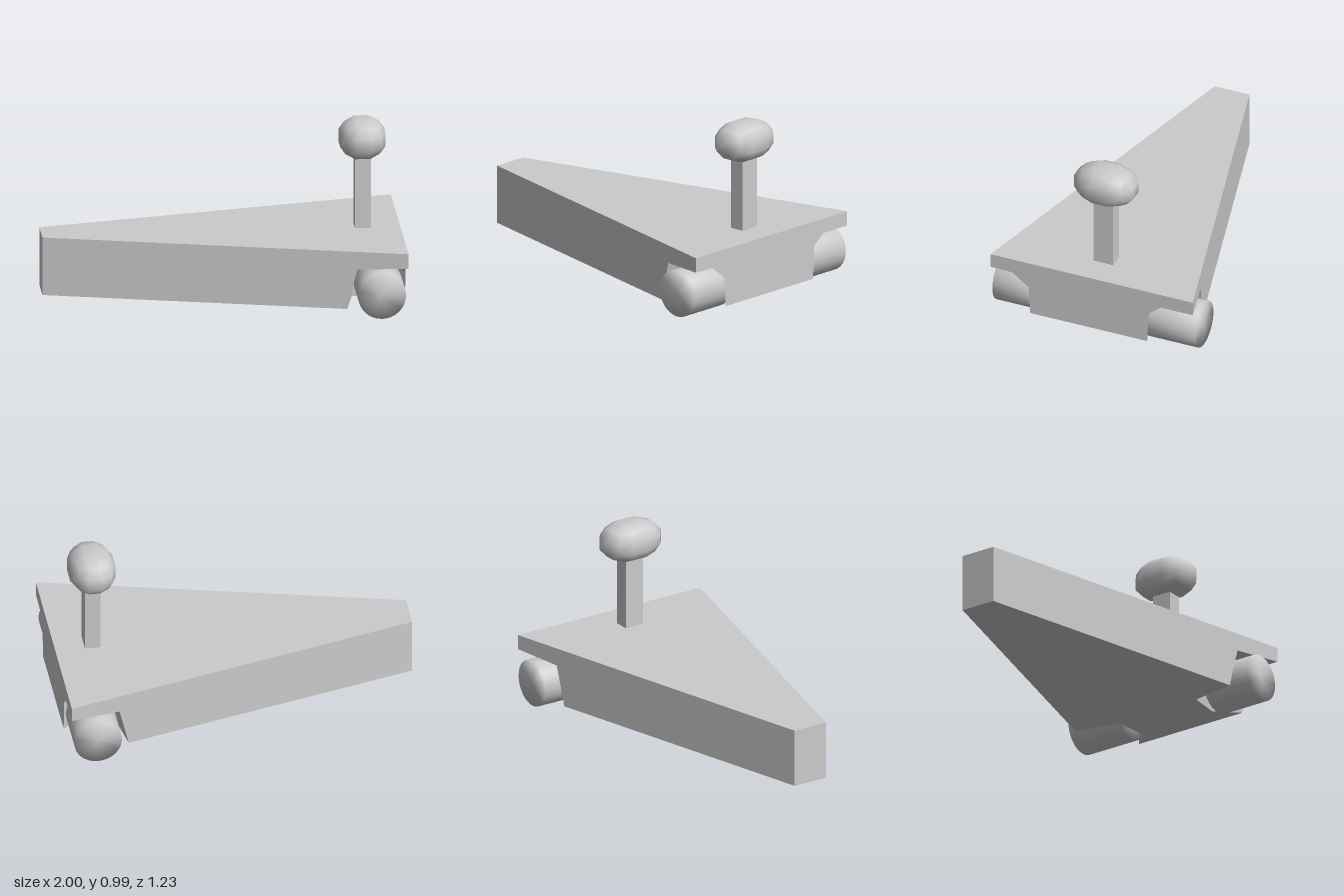
import * as THREE from 'three';
import { mergeVertices } from 'three/addons/utils/BufferGeometryUtils.js';

const material = new THREE.MeshStandardMaterial({ color: 0xcccccc });

function part(name, geometry) {
  const mesh = new THREE.Mesh(geometry, material);
  mesh.name = name;
  return mesh;
}

// Share vertices across all edges so the shading is fully smooth
function smooth(geometry) {
  geometry.deleteAttribute('uv');
  geometry.deleteAttribute('normal');
  const merged = mergeVertices(geometry, 1e-4);
  merged.computeVertexNormals();
  return merged;
}

// Half width of the tapered body at x
const halfWidth = (x) => 0.105 + 0.2525 * (x + 1);

// One side of a body section: narrow end, side edge, two pocket corners, wide end
function halfRing(y, side, sideX, inner, endZ, endY, cornerY = y) {
  return [
    [-1, y, 0.105],
    [sideX, y, halfWidth(sideX)],
    [inner[0], cornerY, inner[1]],
    [inner[2], cornerY, inner[3]],
    [1, endY, endZ],
  ].map(([x, py, z]) => [x, py, z * side]);
}

// Wedge body lofted upward, with a wheel pocket in each wide corner
function bodyGeometry() {
  const levels = [
    { y: 0.04, sideX: 0.665, inner: [0.71, 0.265, 0.89, 0.245], endZ: [0.37, 0.335], endY: [0.04, 0.04] },
    { y: 0.21, sideX: 0.705, inner: [0.73, 0.27, 0.89, 0.25], endZ: [0.38, 0.345], endY: [0.21, 0.23] },
    { y: 0.27, sideX: 0.72, inner: [0.75, 0.29, 0.89, 0.28], endZ: [0.48, 0.42], endY: [0.285, 0.29], cornerY: 0.285 },
    { y: 0.288, sideX: 1, inner: [1, 0.61, 1, 0.61], endZ: [0.61, 0.61], endY: [0.288, 0.288] },
    { y: 0.372, sideX: 1, inner: [1, 0.61, 1, 0.61], endZ: [0.61, 0.61], endY: [0.372, 0.372] },
  ];
  const rings = levels.map((l) => {
    const [a, b] = [1, -1].map((s, i) =>
      halfRing(l.y, s, l.sideX, l.inner, l.endZ[i], l.endY[i], l.cornerY));
    return [...a, ...b.reverse()];
  });
  const positions = [];
  const tri = (a, b, c) => positions.push(...a, ...b, ...c);
  for (let k = 0; k < rings.length - 1; k++) {
    const [lo, hi] = [rings[k], rings[k + 1]];
    for (let i = 0; i < lo.length; i++) {
      const j = (i + 1) % lo.length;
      tri(lo[i], lo[j], hi[j]);
      tri(lo[i], hi[j], hi[i]);
    }
  }
  // Underside and top
  const bottom = rings[0];
  const outline = bottom.map(([x, , z]) => new THREE.Vector2(x, z));
  for (const [a, b, c] of THREE.ShapeUtils.triangulateShape(outline, [])) {
    const [p, q, r] = [outline[a], outline[b], outline[c]];
    const area = (q.x - p.x) * (r.y - p.y) - (q.y - p.y) * (r.x - p.x);
    if (area > 0) tri(bottom[a], bottom[b], bottom[c]);
    else tri(bottom[a], bottom[c], bottom[b]);
  }
  const top = rings[rings.length - 1];
  tri(top[0], top[4], top[5]);
  tri(top[0], top[5], top[9]);

  const geometry = new THREE.BufferGeometry();
  geometry.setAttribute('position', new THREE.Float32BufferAttribute(positions, 3));
  geometry.computeVertexNormals();
  return geometry;
}

// Coarse ball made by rounding a divided cube, stretched to an oval
function knobGeometry() {
  const geometry = new THREE.BoxGeometry(2, 2, 2, 3, 3, 3);
  const p = geometry.attributes.position;
  const v = new THREE.Vector3();
  for (let i = 0; i < p.count; i++) {
    v.fromBufferAttribute(p, i).normalize().divideScalar(0.905);
    p.setXYZ(i, v.x * 0.127, v.y * 0.11, v.z * 0.177);
  }
  return smooth(geometry);
}

function wheel(name, z0, z1) {
  const geometry = new THREE.CylinderGeometry(0.134, 0.134, z1 - z0, 32);
  geometry.rotateX(Math.PI / 2);
  const mesh = part(name, smooth(geometry));
  mesh.position.set(0.852, 0.135, (z0 + z1) / 2);
  return mesh;
}

export function createModel() {
  const model = new THREE.Group();
  model.name = 'wheeledWedge';

  model.add(part('body', bodyGeometry()));
  model.add(wheel('frontWheel', 0.31, 0.605));
  model.add(wheel('backWheel', -0.615, -0.285));

  // Upright post with an oval knob
  const post = part('post', new THREE.BoxGeometry(0.088, 0.45, 0.116));
  post.position.set(0.79, 0.58, 0);
  const knob = part('knob', knobGeometry());
  knob.position.set(0.79, 0.88, 0);
  model.add(post, knob);

  return model;
}
